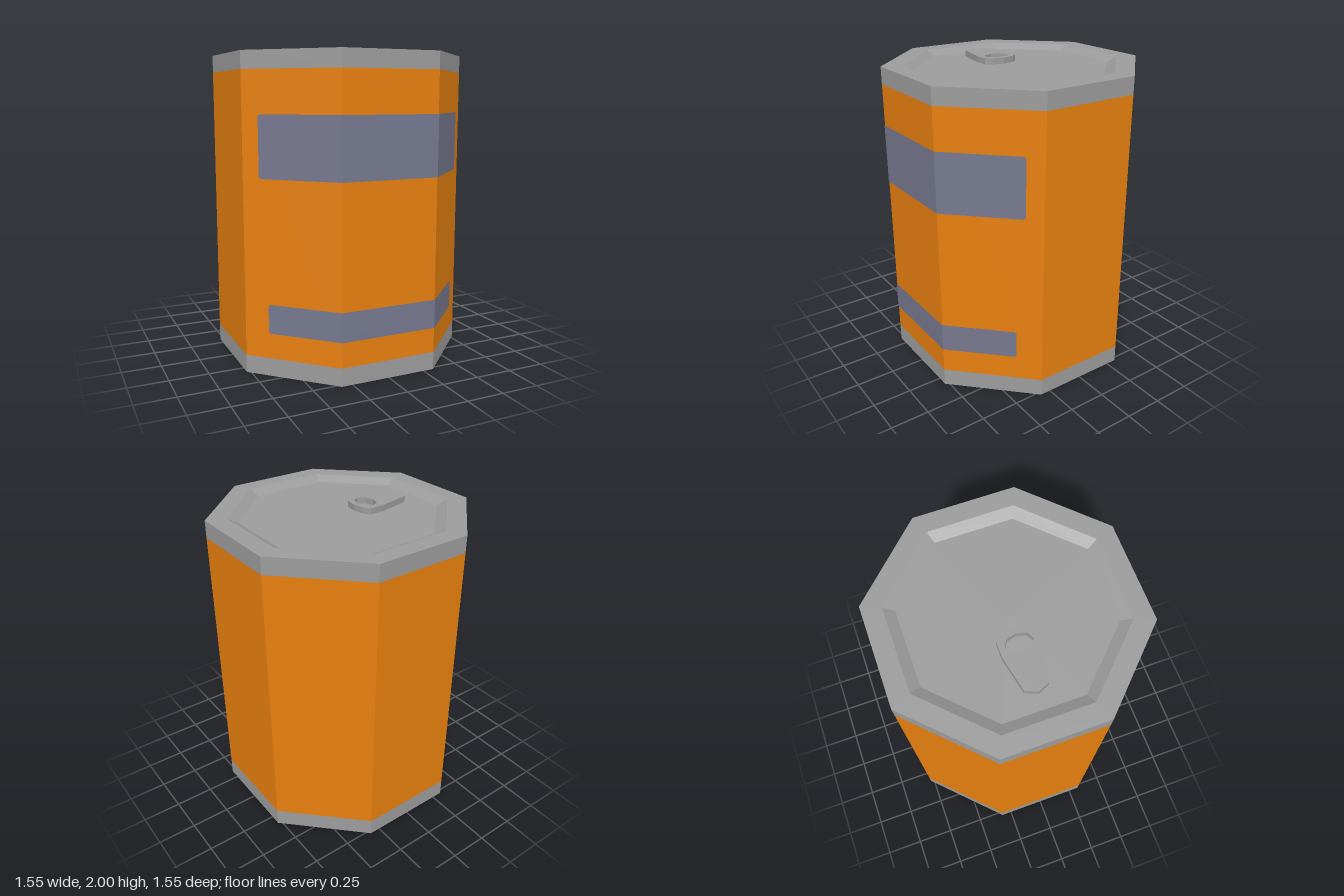
import * as THREE from 'three';

const APOTHEM = 0.775;
const TOP = 1.995;
const DROP = 0.035;

const paint = (name, color) => {
  const m = new THREE.MeshStandardMaterial({ color });
  m.name = name;
  return m;
};

// Eight-sided faceted ring from [apothem, y] points, listed from bottom to top
function octagon(name, profile, material) {
  const pts = profile.map(([a, y]) => new THREE.Vector2(a / Math.cos(Math.PI / 8), y));
  const geo = new THREE.LatheGeometry(pts, 8, Math.PI / 8).toNonIndexed();
  geo.computeVertexNormals();
  const mesh = new THREE.Mesh(geo, material);
  mesh.name = name;
  return mesh;
}

// Thin strip with softened corners wrapped over the three front facets
function label(name, halfWidth, y0, y1, material) {
  const a = APOTHEM + 0.003, r = 0.014;
  const fold = a * Math.tan(Math.PI / 8);
  const half = [[fold, 0], [halfWidth - r, 0], [halfWidth - r * 0.3, r * 0.3], [halfWidth, r]];
  const columns = [...half.map(([x, inset]) => [-x, inset]).reverse(), ...half];
  const pos = [];
  const z = (x) => Math.min(a, a * Math.SQRT2 - Math.abs(x));
  for (let i = 0; i < columns.length - 1; i++) {
    const [xa, ia] = columns[i], [xb, ib] = columns[i + 1];
    const p = [xa, y0 + ia, z(xa)], q = [xb, y0 + ib, z(xb)];
    const s = [xb, y1 - ib, z(xb)], t = [xa, y1 - ia, z(xa)];
    pos.push(...p, ...q, ...s, ...p, ...s, ...t);
  }
  const geo = new THREE.BufferGeometry();
  geo.setAttribute('position', new THREE.Float32BufferAttribute(pos, 3));
  geo.computeVertexNormals();
  const mesh = new THREE.Mesh(geo, material);
  mesh.name = name;
  return mesh;
}

// Mirrors a half outline [x, y >= 0] (ends on the axis) into a closed loop
function mirrored(half) {
  const lower = half.slice(1, -1).reverse().map(([x, y]) => [x, -y]);
  return [...half, ...lower].map(([x, y]) => new THREE.Vector2(x, y));
}

export function createModel() {
  const metal = paint('metal grey', 0x9c9c9c);
  const orange = paint('can orange', 0xe8800f);
  const slate = paint('label slate', 0x76788f);
  const can = new THREE.Group();
  can.name = 'can';

  // Body: recessed base, painted wall, recessed lid
  can.add(
    octagon('base', [[0, DROP], [0.59, DROP], [0.655, 0], [APOTHEM, 0], [APOTHEM, 0.115]], metal),
    octagon('wall', [[APOTHEM, 0.115], [APOTHEM, 1.885]], orange),
    octagon('lid', [[APOTHEM, 1.885], [APOTHEM, TOP], [0.655, TOP], [0.59, TOP - DROP], [0, TOP - DROP]], metal),
  );

  // Front labels
  can.add(
    label('upperLabel', 0.7, 1.235, 1.62, slate),
    label('lowerLabel', 0.663, 0.275, 0.46, slate),
  );

  // Pull tab with its finger hole
  const outline = new THREE.Shape(mirrored([
    [-0.1, 0], [-0.115, 0.08], [-0.145, 0.12], [-0.24, 0.12], [-0.465, 0.073], [-0.497, 0],
  ]));
  outline.holes.push(new THREE.Path(mirrored([
    [-0.135, 0], [-0.15, 0.06], [-0.195, 0.085], [-0.24, 0.06], [-0.257, 0],
  ])));
  const tabGeo = new THREE.ExtrudeGeometry(outline, { depth: 0.045, bevelEnabled: false });
  tabGeo.rotateX(-Math.PI / 2);
  const tab = new THREE.Mesh(tabGeo, metal);
  tab.name = 'pullTab';
  tab.position.y = 1.955;
  can.add(tab);

  return can;
}
